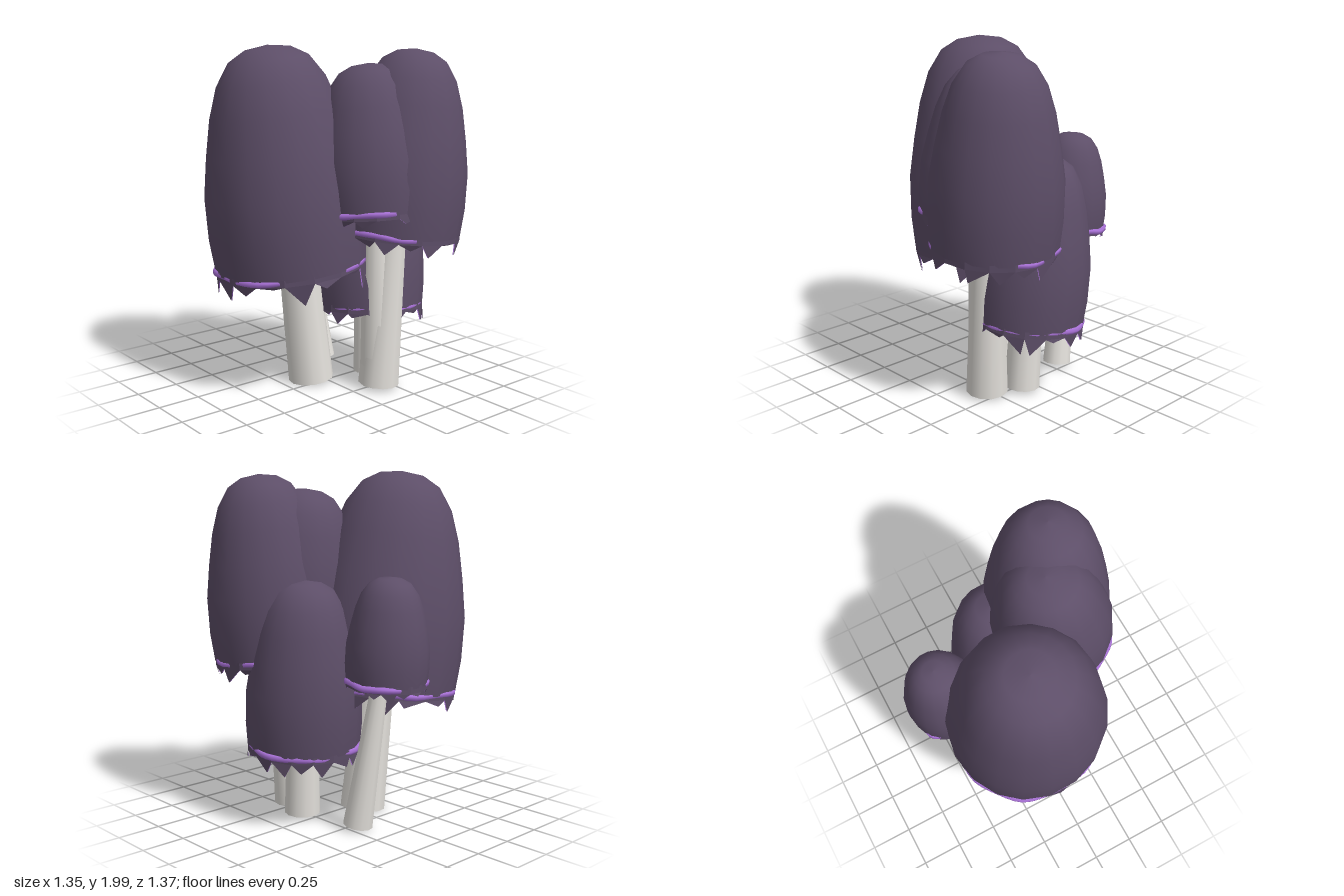
import * as THREE from 'three';

const capSkin = new THREE.MeshStandardMaterial({ color: 0x5d4e68, side: THREE.DoubleSide });
const rimPurple = new THREE.MeshStandardMaterial({ color: 0xa871d6, side: THREE.DoubleSide });
const stemWhite = new THREE.MeshStandardMaterial({ color: 0xe4e1dc, side: THREE.DoubleSide });

const V = (a) => new THREE.Vector3(...a);
const UP = new THREE.Vector3(0, 1, 0);

function seeded(seed) {
  let s = seed * 7919 + 17;
  return () => (s = (s * 16807) % 2147483647) / 2147483647;
}

function mesh(name, geometry, material) {
  const m = new THREE.Mesh(geometry, material);
  m.name = name;
  return m;
}

// Bell profile: [height fraction, radius fraction], rim to crown
const PROFILE = [[0, 0.97], [0.15, 1], [0.35, 0.985], [0.53, 0.9], [0.7, 0.8], [0.84, 0.67], [0.94, 0.49], [0.985, 0.28], [1, 0]];

function bell(radius, height) {
  return new THREE.LatheGeometry(PROFILE.map(([t, r]) => new THREE.Vector2(r * radius, t * height)), 18);
}

// Ragged fringe: irregular triangles hanging from the rim
function fringe(radius, depth, seed, inner) {
  const rand = seeded(seed), n = 17, pos = [];
  const at = (k, r, y) => {
    const a = (k / n) * Math.PI * 2;
    return [Math.sin(a) * r, y, Math.cos(a) * r];
  };
  for (let i = 0; i < n; i++) {
    const drop = depth * (0.2 + 0.8 * rand()), tip = i + 0.1 + 0.8 * rand();
    const a = at(i, radius, 0.015), b = at(i + 1, radius, 0.015);
    const c = at(i + 1, radius, -0.025), d = at(i, radius, -0.025);
    const e = at(tip, radius * (0.94 + 0.07 * rand()), -drop);
    const tris = [[a, d, b], [d, c, b], [d, e, c]];
    for (const t of tris) pos.push(...(inner ? t.reverse() : t).flat());
  }
  const g = new THREE.BufferGeometry();
  g.setAttribute('position', new THREE.Float32BufferAttribute(pos, 3));
  g.computeVertexNormals();
  return g;
}

function makeCap({ rim, top, radius, depth, seed }) {
  const cap = new THREE.Group();
  cap.name = 'cap';
  const axis = V(top).sub(V(rim)), height = axis.length();
  cap.position.copy(V(rim));
  cap.quaternion.setFromUnitVectors(UP, axis.normalize());
  const edge = radius * 0.97;
  cap.add(mesh('capShell', bell(radius, height), capSkin));
  cap.add(mesh('capFringe', fringe(edge, depth, seed, false), capSkin));
  cap.add(mesh('fringeLining', fringe(edge - 0.006, depth, seed, true), rimPurple));
  // Rim cord, wavy so that it dips in and out of the skin
  const rand = seeded(seed + 50), pts = [];
  for (let i = 0; i < 18; i++) {
    const a = (i / 18) * Math.PI * 2, r = edge - 0.028 + 0.028 * rand();
    pts.push(new THREE.Vector3(Math.sin(a) * r, 0.014 * (rand() - 0.5), Math.cos(a) * r));
  }
  const path = new THREE.CatmullRomCurve3(pts, true);
  cap.add(mesh('rimCord', new THREE.TubeGeometry(path, 54, 0.019, 6, true), rimPurple));
  return cap;
}

// Hollow stem running from the ground up into the cap
function makeStem({ foot, head, r0, r1 }) {
  const a = V(foot), b = V(head), axis = b.clone().sub(a);
  const stem = mesh('stem', new THREE.CylinderGeometry(r1, r0, axis.length(), 12, 1, true), stemWhite);
  stem.position.copy(a.add(b).multiplyScalar(0.5));
  stem.quaternion.setFromUnitVectors(UP, axis.normalize());
  return stem;
}

const MUSHROOMS = [
  { name: 'largeMushroom', rim: [-0.185, 0.76, -0.09], top: [-0.315, 2, -0.135], radius: 0.463, depth: 0.17, seed: 1,
    foot: [-0.067, 0.02, -0.065], head: [-0.18, 1.2, -0.11], r0: 0.135, r1: 0.105 },
  { name: 'frontMushroom', rim: [0.285, 0.95, 0.305], top: [0.37, 1.98, 0.34], radius: 0.37, depth: 0.11, seed: 2,
    foot: [0.18, 0.03, 0.27], head: [0.25, 1.3, 0.325], r0: 0.123, r1: 0.075 },
  { name: 'middleMushroom', rim: [0.15, 1.08, 0.275], top: [0.14, 1.9, 0.2], radius: 0.352, depth: 0.1, seed: 3,
    foot: [0.18, 0.03, 0.265], head: [0.13, 1.4, 0.28], r0: 0.11, r1: 0.06 },
  { name: 'lowMushroom', rim: [0.29, 0.465, 0.055], top: [0.34, 1.4, -0.02], radius: 0.335, depth: 0.12, seed: 4,
    foot: [0.28, 0.03, 0.085], head: [0.3, 0.9, 0.04], r0: 0.105, r1: 0.085 },
  { name: 'backMushroom', rim: [0.13, 0.87, -0.447], top: [0.135, 1.435, -0.48], radius: 0.23, depth: 0.09, seed: 5,
    foot: [0.2, 0.03, -0.3], head: [0.14, 1.1, -0.46], r0: 0.085, r1: 0.035 },
];

export function createModel() {
  const model = new THREE.Group();
  model.name = 'mushroomCluster';
  for (const spec of MUSHROOMS) {
    const mushroom = new THREE.Group();
    mushroom.name = spec.name;
    mushroom.add(makeCap(spec), makeStem(spec));
    model.add(mushroom);
  }
  return model;
}
